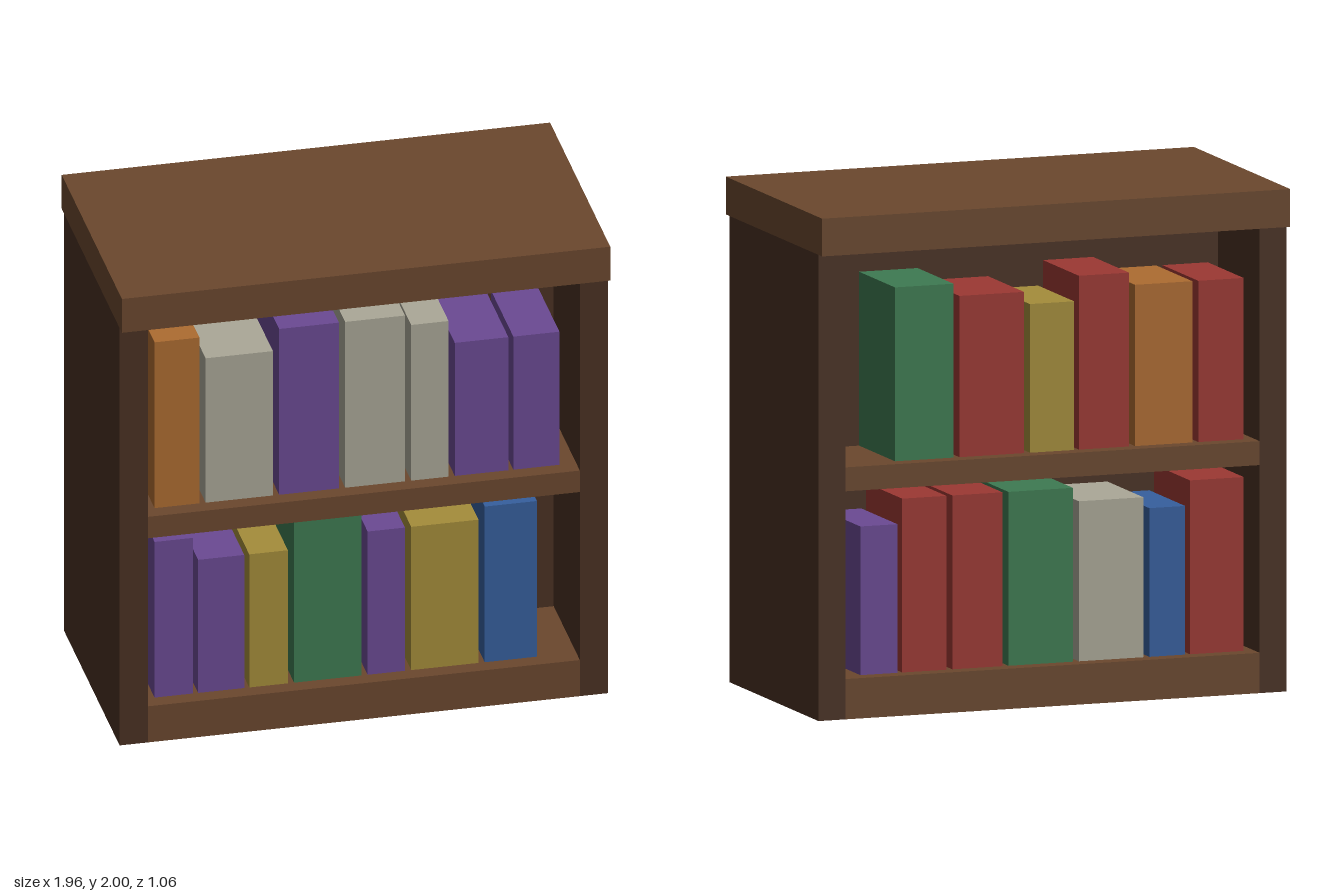
import * as THREE from 'three';

const COLORS = {
  wood: 0x6b482e, darkWood: 0x4a3123,
  purple: 0x6b4a94, orange: 0xae6c31, cream: 0xaba898, gold: 0xa58d3b,
  green: 0x3e7b52, blue: 0x365f9e, red: 0x9c3833,
};

const materials = {};
for (const key in COLORS) materials[key] = new THREE.MeshStandardMaterial({ color: COLORS[key] });

// Box given by its extents on each axis
function box(name, color, [x0, x1], [y0, y1], [z0, z1]) {
  const mesh = new THREE.Mesh(new THREE.BoxGeometry(x1 - x0, y1 - y0, z1 - z0), materials[color]);
  mesh.position.set((x0 + x1) / 2, (y0 + y1) / 2, (z0 + z1) / 2);
  mesh.name = name;
  return mesh;
}

const W = 0.98, INNER = 0.867, D = 0.49;
const BASE = 0.16, SHELF = 1.0, TOP = 1.85;
const PANEL = 0.03, BOOK_FRONT = 0.425;

// Row of books standing against the divider: [left, right, top, color]
function bookRow(name, floor, books) {
  const row = new THREE.Group();
  row.name = name;
  for (const [x0, x1, top, color] of books) {
    row.add(box('book', color, [x0, x1], [floor, top], [PANEL, BOOK_FRONT]));
  }
  return row;
}

export function createModel() {
  const model = new THREE.Group();
  model.name = 'doubleSidedBookcase';

  // Carcass
  model.add(box('topBoard', 'wood', [-W, W], [TOP, 2], [-0.53, 0.53]));
  model.add(box('leftSide', 'darkWood', [INNER, W], [0, TOP], [-D, D]));
  model.add(box('rightSide', 'darkWood', [-W, -INNER], [0, TOP], [-D, D]));
  model.add(box('base', 'wood', [-INNER, INNER], [0, BASE], [-D, D]));
  model.add(box('shelf', 'wood', [-INNER, INNER], [0.905, SHELF], [-D, D]));
  model.add(box('lowerDivider', 'darkWood', [-INNER, INNER], [BASE, 0.905], [-PANEL, PANEL]));
  model.add(box('upperDivider', 'darkWood', [-INNER, INNER], [SHELF, TOP], [-PANEL, PANEL]));

  // Front books
  const front = new THREE.Group();
  front.name = 'frontBooks';
  front.add(bookRow('upperRow', SHELF, [
    [-0.825, -0.645, 1.735, 'orange'],
    [-0.62, -0.35, 1.64, 'cream'],
    [-0.325, -0.085, 1.735, 'purple'],
    [-0.06, 0.18, 1.735, 'cream'],
    [0.205, 0.355, 1.69, 'cream'],
    [0.38, 0.595, 1.59, 'purple'],
    [0.615, 0.8, 1.59, 'purple'],
  ]));
  front.add(bookRow('lowerRow', BASE, [
    [-0.825, -0.67, 0.85, 'purple'],
    [-0.65, -0.465, 0.75, 'purple'],
    [-0.445, -0.29, 0.75, 'gold'],
    [-0.265, 0.005, 0.895, 'green'],
    [0.03, 0.18, 0.795, 'purple'],
    [0.205, 0.475, 0.795, 'gold'],
    [0.5, 0.71, 0.85, 'blue'],
  ]));
  model.add(front);

  // Back books, laid out as seen from behind and turned half round
  const back = new THREE.Group();
  back.name = 'backBooks';
  back.add(bookRow('upperRow', SHELF, [
    [-0.635, -0.39, 1.69, 'green'],
    [-0.365, -0.095, 1.64, 'red'],
    [-0.07, 0.115, 1.59, 'gold'],
    [0.135, 0.345, 1.69, 'red'],
    [0.37, 0.61, 1.64, 'orange'],
    [0.635, 0.825, 1.64, 'red'],
  ]));
  back.add(bookRow('lowerRow', BASE, [
    [-0.78, -0.625, 0.75, 'purple'],
    [-0.605, -0.42, 0.85, 'red'],
    [-0.395, -0.185, 0.85, 'red'],
    [-0.16, 0.11, 0.85, 'green'],
    [0.135, 0.405, 0.795, 'cream'],
    [0.43, 0.58, 0.75, 'blue'],
    [0.6, 0.825, 0.85, 'red'],
  ]));
  back.rotation.y = Math.PI;
  model.add(back);

  return model;
}
